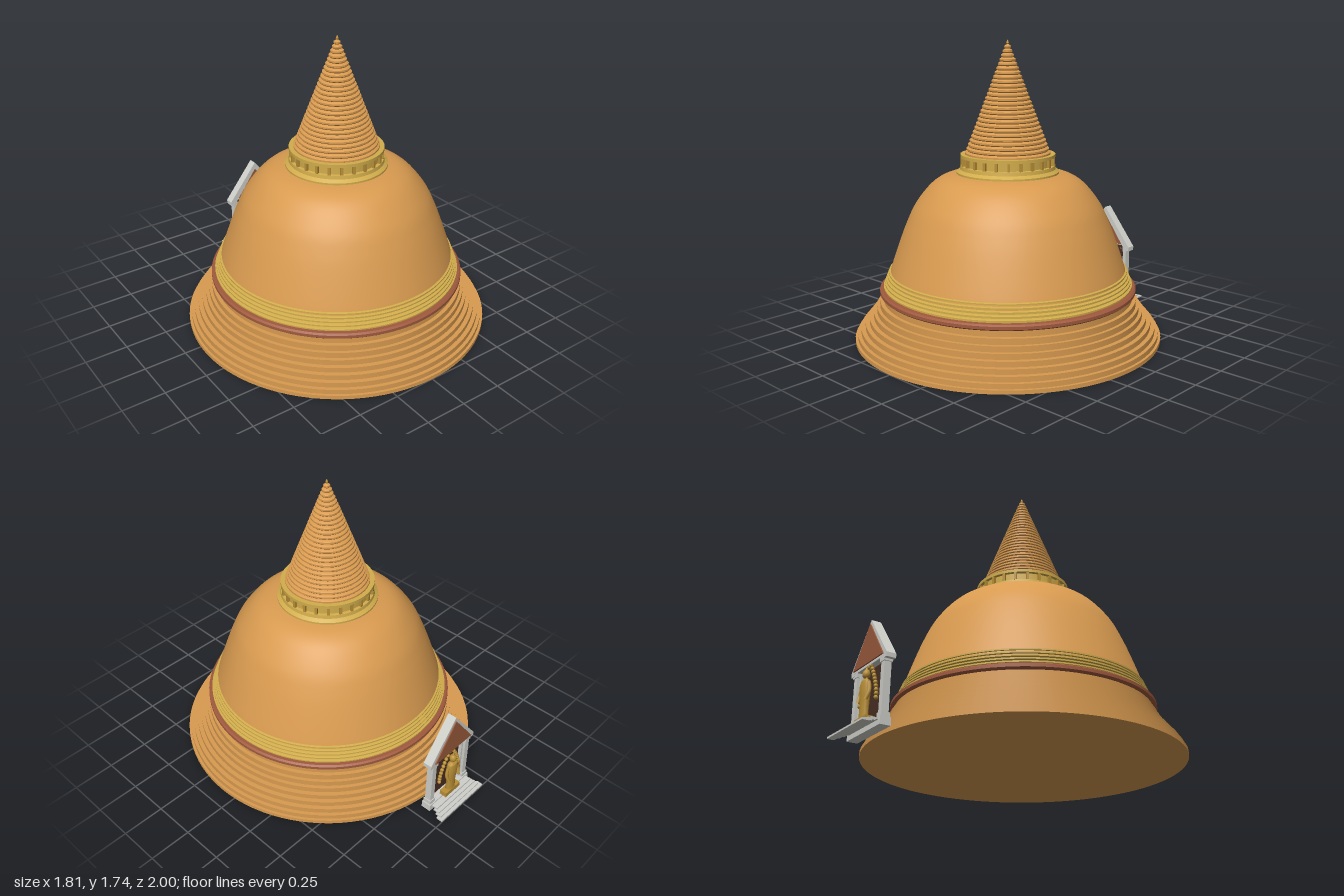
import * as THREE from 'three';
import { toCreasedNormals } from 'three/addons/utils/BufferGeometryUtils.js';

const mat = (name, color, side = THREE.FrontSide) => {
  const m = new THREE.MeshStandardMaterial({ color, side });
  m.name = name;
  return m;
};

export function createModel() {
  const ochre = mat('ochre plaster', 0xd99b50);
  const gold = mat('pale gold', 0xd2ad4c);
  const red = mat('terracotta red', 0xa05a3e);
  const stone = mat('light stone', 0xcfcfca);
  const brown = mat('dark brown', 0x4a2f24);
  const bronze = mat('statue gold', 0xb98f36);
  const roofRed = mat('pediment red', 0x9a5a3c);

  const model = new THREE.Group();
  const stupa = new THREE.Group();
  stupa.name = 'stupa';
  stupa.position.z = 0.095;
  const shrine = new THREE.Group();
  shrine.name = 'shrine';
  model.add(stupa, shrine);

  const add = (parent, name, geo, material, x = 0, y = 0, z = 0) => {
    const m = new THREE.Mesh(geo, material);
    m.name = name;
    m.position.set(x, y, z);
    parent.add(m);
    return m;
  };
  const lathe = (parent, name, pts, material, seg = 96) => add(parent, name,
    toCreasedNormals(new THREE.LatheGeometry(pts.map(p => new THREE.Vector2(p[0], p[1])), seg), 0.5), material);
  const box = (name, w, h, d, material, x, y, z) =>
    add(shrine, name, new THREE.BoxGeometry(w, h, d), material, x, y, z);

  // Stepped circular base
  const steps = [[0.905, 0.022], [0.89, 0.05], [0.87, 0.08], [0.845, 0.11], [0.82, 0.14],
    [0.795, 0.172], [0.775, 0.205], [0.757, 0.24], [0.735, 0.285]];
  const base = [[0, 0]];
  let y = 0;
  for (const [r, top] of steps) {
    base.push([r, y], [r, top]);
    y = top;
  }
  base.push([0.6, y]);
  lathe(stupa, 'steppedBase', base, ochre);

  // Red rounded band and gold ring mouldings
  lathe(stupa, 'redBand', [[0.68, 0.277], [0.745, 0.277], [0.755, 0.285], [0.755, 0.302], [0.745, 0.31], [0.66, 0.31]], red);
  for (let i = 0; i < 5; i++) {
    const r = 0.733 - i * 0.008, b = 0.31 + i * 0.02;
    lathe(stupa, 'goldRing', [[r - 0.05, b], [r - 0.014, b], [r - 0.014, b + 0.006],
      [r, b + 0.008], [r, b + 0.016], [r - 0.012, b + 0.02], [r - 0.05, b + 0.02]], gold);
  }

  // Bell-shaped dome
  const curve = new THREE.SplineCurve([[0.7, 0.36], [0.69, 0.41], [0.632, 0.58], [0.585, 0.7], [0.535, 0.8],
    [0.455, 0.9], [0.38, 0.952], [0.29, 0.976], [0.2, 0.98]].map(p => new THREE.Vector2(...p)));
  add(stupa, 'dome', new THREE.LatheGeometry(curve.getPoints(48), 96), ochre);

  // Collar with a ring of small posts below its rim
  lathe(stupa, 'collar', [[0.2, 0.97], [0.298, 0.97], [0.298, 0.985], [0.278, 1.0], [0.275, 1.02],
    [0.258, 1.022], [0.258, 1.066], [0.275, 1.068], [0.275, 1.086], [0.2, 1.086]], gold);
  for (let i = 0; i < 24; i++) {
    const a = i / 24 * Math.PI * 2;
    const post = add(stupa, 'collarPost', new THREE.BoxGeometry(0.016, 0.046, 0.022), bronze,
      Math.sin(a) * 0.263, 1.044, Math.cos(a) * 0.263);
    post.rotation.y = a;
  }

  // Ringed spire and finial
  const spire = [];
  const n = 26;
  for (let i = 0; i < n; i++) {
    const r = 0.248 - i * 0.238 / n, b = 1.08 + i * 0.63 / n, h = 0.63 / n;
    spire.push([r - 0.006, b], [r, b + h * 0.25], [r, b + h * 0.65], [r - 0.012, b + h * 0.98]);
  }
  spire.push([0, 1.712]);
  lathe(stupa, 'spire', spire, ochre, 64);
  lathe(stupa, 'finial', [[0.004, 1.69], [0.004, 1.708], [0.008, 1.717], [0.004, 1.73], [0, 1.737]], bronze, 16);

  // Shrine steps and floor, facing -z
  box('plinth', 0.36, 0.045, 0.06, stone, 0, 0.0225, -0.868);
  [[0.32, 0.034, -0.915], [0.34, 0.024, -0.938], [0.36, 0.015, -0.96], [0.39, 0.007, -0.98]]
    .forEach(([w, top, z]) => box('step', w, 0.01, 0.04, stone, 0, top - 0.002, z));

  // Back wall, columns and lintel
  box('backWall', 0.29, 0.34, 0.012, brown, 0, 0.21, -0.848);
  for (const s of [-1, 1]) {
    box('columnBase', 0.046, 0.03, 0.05, stone, s * 0.15, 0.055, -0.867);
    box('column', 0.034, 0.29, 0.04, stone, s * 0.15, 0.21, -0.867);
    box('capital', 0.046, 0.025, 0.05, stone, s * 0.15, 0.35, -0.867);
    box('innerColumn', 0.014, 0.3, 0.02, stone, s * 0.122, 0.2, -0.864);
  }
  box('lintel', 0.34, 0.022, 0.05, stone, 0, 0.372, -0.867);

  // Gabled roof slab and red pediment
  const extrude = (pts, depth) => new THREE.ExtrudeGeometry(
    new THREE.Shape(pts.map(p => new THREE.Vector2(...p))), { depth, bevelEnabled: false });
  add(shrine, 'roof', extrude([[-0.195, 0.35], [-0.165, 0.35], [0, 0.575], [0.165, 0.35], [0.195, 0.35],
    [0.195, 0.375], [0, 0.62], [-0.195, 0.375]], 0.055), stone, 0, 0, -0.893);
  add(shrine, 'pediment', extrude([[-0.165, 0.375], [0.165, 0.375], [0, 0.595]], 0.054), roofRed, 0, 0, -0.9);

  // Standing robed statue on a pedestal
  const statue = new THREE.Group();
  statue.name = 'statue';
  statue.position.set(0, 0.045, -0.9);
  shrine.add(statue);
  add(statue, 'pedestal', new THREE.BoxGeometry(0.13, 0.03, 0.045), bronze, 0, 0.015, 0);
  const robe = lathe(statue, 'robe', [[0, 0.03], [0.036, 0.03], [0.034, 0.08], [0.038, 0.14], [0.043, 0.2],
    [0.036, 0.225], [0.014, 0.238], [0.012, 0.25], [0, 0.25]], bronze, 24);
  robe.scale.z = 0.6;
  const head = add(statue, 'head', new THREE.SphereGeometry(0.021, 20, 14), bronze, 0, 0.265, 0);
  head.scale.y = 1.2;
  add(statue, 'topknot', new THREE.ConeGeometry(0.01, 0.025, 12), bronze, 0, 0.298, 0);
  for (const s of [-1, 1]) {
    const path = new THREE.CatmullRomCurve3([[0.038, 0.212, 0], [0.052, 0.16, -0.004], [0.044, 0.115, -0.018]]
      .map(p => new THREE.Vector3(s * p[0], p[1], p[2])));
    add(statue, 'arm', new THREE.TubeGeometry(path, 10, 0.01, 8), bronze);
    // Beaded arch around the statue
    for (let i = 0; i < 11; i++) {
      const t = i / 10;
      add(statue, 'archBead', new THREE.SphereGeometry(0.012, 10, 8), bronze,
        s * 0.088 * Math.sin(t * Math.PI / 2), 0.335 - 0.215 * t, 0.018);
    }
  }
  return model;
}
